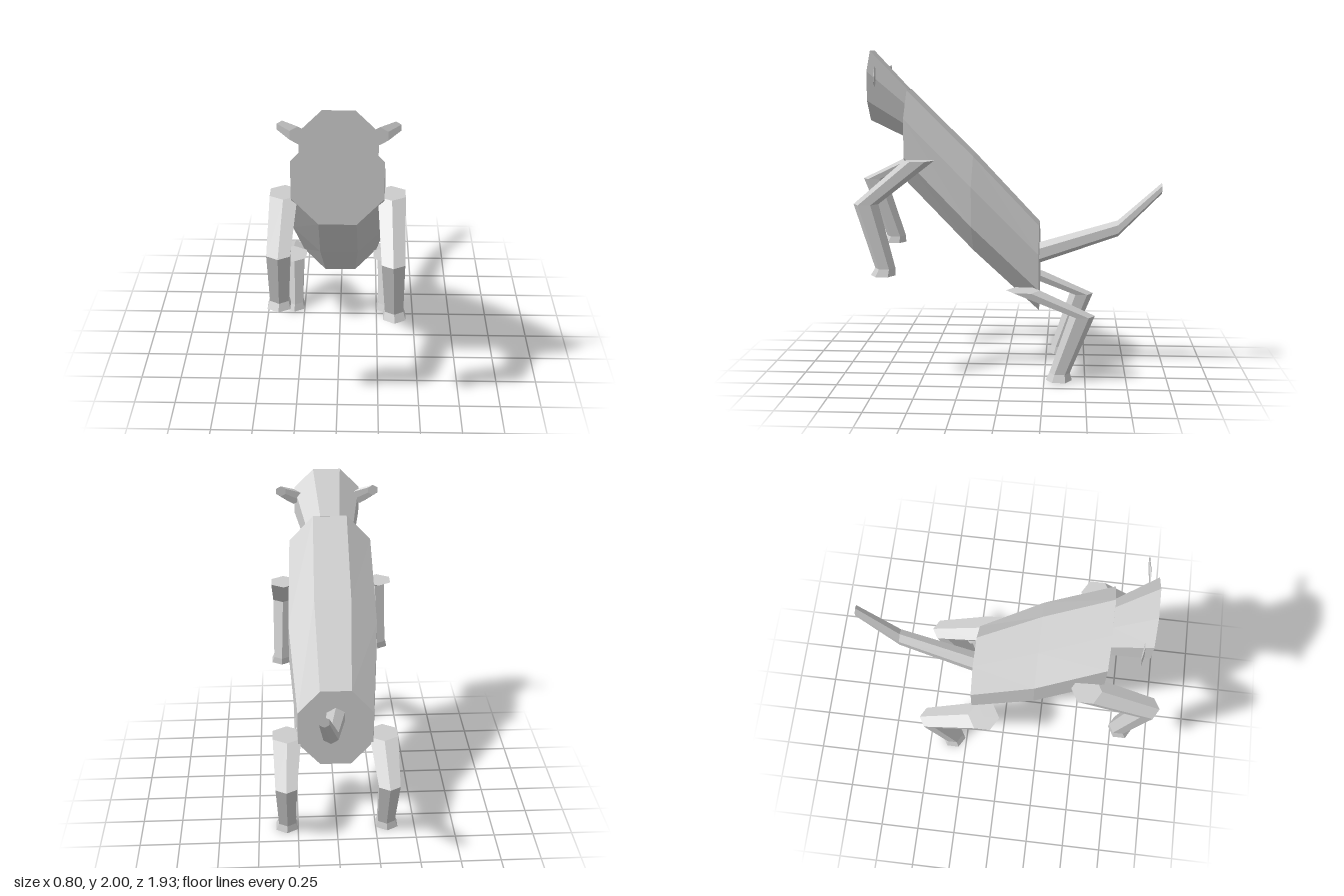
import * as THREE from 'three';

const coat = new THREE.MeshStandardMaterial({ color: 0xcccccc, flatShading: true, side: THREE.DoubleSide });
coat.name = 'grey coat';

// Capped loft through parallel rings. Each ring is [x, y, z, ru, rv].
// plane 'z': rings face z (u = x, v = y); plane 'y': rings face y (u = x, v = z).
function loft(name, plane, sides, start, rings) {
  const pos = [];
  const corner = ([x, y, z, ru, rv = ru], i) => {
    const a = start + (i / sides) * Math.PI * 2;
    const u = Math.cos(a) * ru, v = Math.sin(a) * rv;
    return plane === 'z' ? [x + u, y + v, z] : [x + u, y, z + v];
  };
  // keep faces outward whichever way the rings run
  const a = rings[0], b = rings[rings.length - 1];
  const forward = plane === 'z' ? b[2] > a[2] : b[1] < a[1];
  const tri = (p, q, r) => pos.push(...p, ...(forward ? q : r), ...(forward ? r : q));
  for (let k = 0; k < rings.length - 1; k++) {
    for (let i = 0; i < sides; i++) {
      const p = corner(rings[k], i), q = corner(rings[k], i + 1);
      const s = corner(rings[k + 1], i), t = corner(rings[k + 1], i + 1);
      tri(p, q, t);
      tri(p, t, s);
    }
  }
  for (let i = 0; i < sides; i++) {
    tri(a.slice(0, 3), corner(a, i + 1), corner(a, i));
    tri(b.slice(0, 3), corner(b, i), corner(b, i + 1));
  }
  const g = new THREE.BufferGeometry();
  g.setAttribute('position', new THREE.Float32BufferAttribute(pos, 3));
  g.computeVertexNormals();
  const mesh = new THREE.Mesh(g, coat);
  mesh.name = name;
  return mesh;
}

const octagon = (name, rings) => loft(name, 'z', 8, Math.PI / 8, rings);
const hexagon = (name, plane, rings) => loft(name, plane, 6, Math.PI / 6, rings);

export function createModel() {
  const model = new THREE.Group();
  model.name = 'rearing animal';

  // sloping trunk and head
  model.add(octagon('body', [
    [0, 0.652, -0.21, 0.26, 0.29],
    [0, 1.06, 0.2, 0.308, 0.318],
    [0, 1.475, 0.61, 0.287, 0.308],
  ]));
  model.add(octagon('head', [
    [0, 1.61, 0.608, 0.162],
    [0.012, 1.788, 0.835, 0.23],
  ]));

  // tail, bent upward and to one side
  model.add(hexagon('tail', 'z', [
    [0, 0.735, -0.21, 0.066],
    [0.052, 0.902, -0.7, 0.051],
    [0.1, 1.162, -0.965, 0.034],
  ]));

  for (const [side, s] of [['left', 1], ['right', -1]]) {
    // flat ears
    model.add(hexagon(side + 'Ear', 'z', [
      [0.012 + s * 0.218, 1.832, 0.786, 0.052],
      [0.012 + s * 0.302, 1.875, 0.768, 0.035],
    ]));

    // hind legs: hip, hock, ankle, foot
    model.add(hexagon(side + 'HindLeg', 'y', [
      [s * 0.31, 0.555, -0.12, 0.104],
      [s * 0.32, 0.405, -0.48, 0.077],
      [s * 0.318, 0.045, -0.345, 0.063],
      [s * 0.322, 0, -0.34, 0.08],
    ]));
  }

  // front legs: shoulder, elbow, ankle, paw (the right one is raised higher)
  model.add(hexagon('leftFrontLeg', 'y', [
    [0.31, 1.345, 0.51, 0.092],
    [0.318, 1.08, 0.835, 0.076],
    [0.333, 0.69, 0.72, 0.062],
    [0.335, 0.645, 0.733, 0.076],
  ]));
  model.add(hexagon('rightFrontLeg', 'y', [
    [-0.31, 1.345, 0.51, 0.092],
    [-0.32, 1.165, 0.89, 0.076],
    [-0.333, 0.78, 0.755, 0.062],
    [-0.335, 0.737, 0.767, 0.076],
  ]));

  return model;
}
